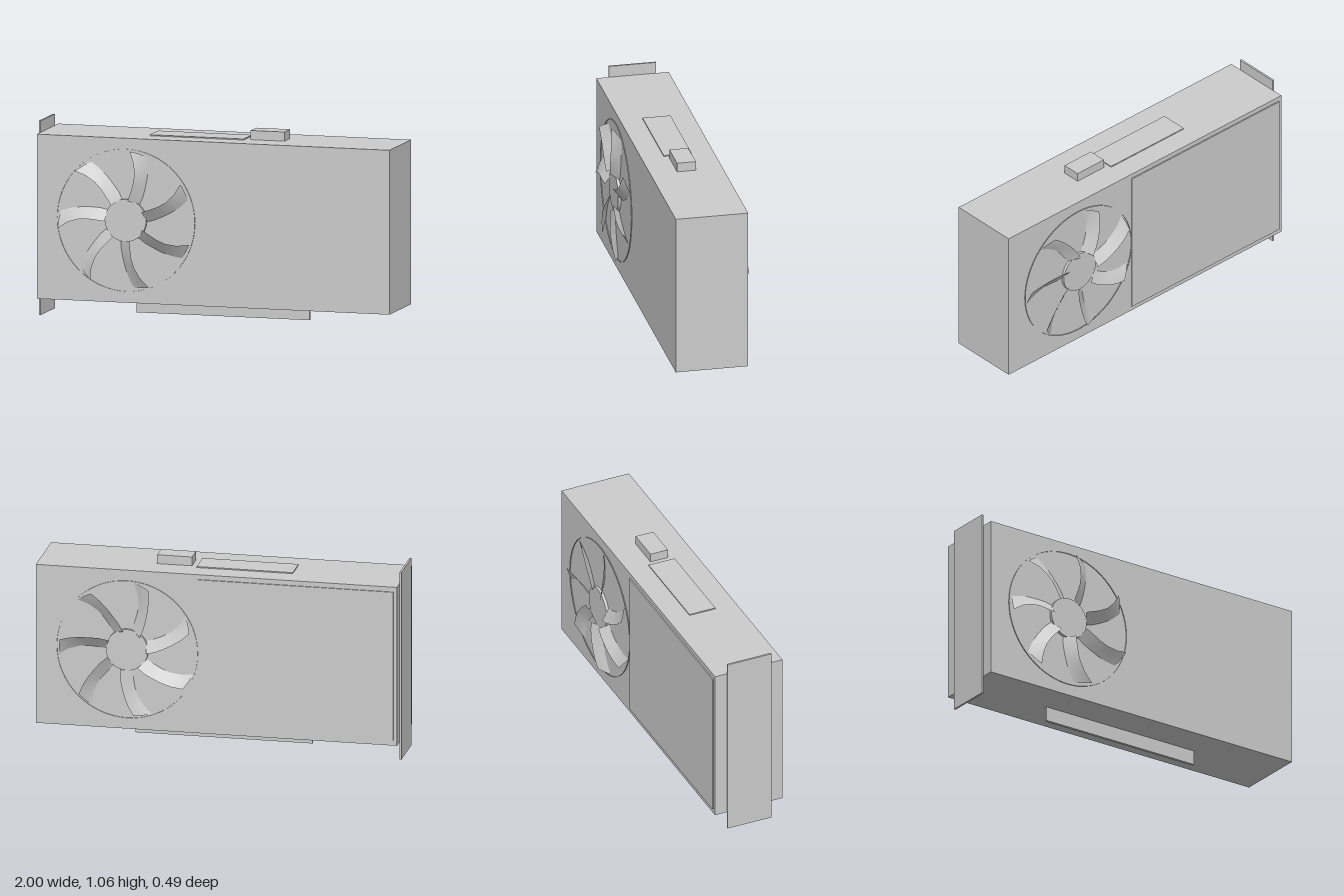
import * as THREE from 'three';

const grey = new THREE.MeshStandardMaterial({ color: 0xcccccc, side: THREE.DoubleSide });
grey.name = 'plain grey';

function add(group, name, geometry) {
  const mesh = new THREE.Mesh(geometry, grey);
  mesh.name = name;
  group.add(mesh);
  return mesh;
}

// Box given by its minimum and maximum on each axis
function box(group, name, x0, x1, y0, y1, z0, z1) {
  const mesh = add(group, name, new THREE.BoxGeometry(x1 - x0, y1 - y0, z1 - z0));
  mesh.position.set((x0 + x1) / 2, (y0 + y1) / 2, (z0 + z1) / 2);
}

// Curved, pitched blade lofted from the swept edge to the straight edge.
// Each section: swept radius, swept angle, other radius, other angle (degrees)
function bladeGeometry(sweptHigh) {
  const sections = [
    [0.11, 80, 0.11, 47], [0.16, 77, 0.16, 53], [0.21, 76, 0.21, 58.5],
    [0.26, 77, 0.26, 62.5], [0.32, 80.5, 0.315, 66.5], [0.382, 85.5, 0.368, 70.5],
  ];
  const highZ = [0.041, 0.044, 0.045, 0.044, 0.041, 0.035];
  const lowZ = -0.002;
  const steps = 4;
  const positions = [], index = [];
  sections.forEach(([r0, a0, r1, a1], i) => {
    for (let j = 0; j <= steps; j++) {
      const t = j / steps;
      const r = r0 + (r1 - r0) * t;
      const a = THREE.MathUtils.degToRad(a0 + (a1 - a0) * t);
      const h = sweptHigh ? 1 - t : t;
      positions.push(r * Math.cos(a), r * Math.sin(a), lowZ + (highZ[i] - lowZ) * h);
      if (i > 0 && j > 0) {
        const d = i * (steps + 1) + j, c = d - 1, b = d - steps - 1, e = b - 1;
        index.push(e, b, d, e, d, c);
      }
    }
  });
  // Wind the faces so that they look outward (+z)
  for (let i = 0; i < index.length; i += 3) {
    const [p, q, s] = [0, 1, 2].map(k => new THREE.Vector3().fromArray(positions, index[i + k] * 3));
    if (q.sub(p).cross(s.sub(p)).z < 0) [index[i + 1], index[i + 2]] = [index[i + 2], index[i + 1]];
  }
  const geometry = new THREE.BufferGeometry();
  geometry.setAttribute('position', new THREE.Float32BufferAttribute(positions, 3));
  geometry.setIndex(index);
  geometry.computeVertexNormals();
  return geometry;
}

// Fan facing +z with its base at z = 0
function createFan(name, sweptHigh) {
  const fan = new THREE.Group();
  fan.name = name;
  const hub = add(fan, 'fanHub', new THREE.CylinderGeometry(0.116, 0.116, 0.02, 48));
  hub.rotation.x = Math.PI / 2;
  hub.position.z = 0.006;
  const rim = add(fan, 'fanRim', new THREE.CylinderGeometry(0.388, 0.388, 0.01, 64, 1, true));
  rim.rotation.x = Math.PI / 2;
  const blade = bladeGeometry(sweptHigh);
  for (let i = 0; i < 7; i++) {
    add(fan, 'fanBlade', blade).rotation.z = (i * Math.PI * 2) / 7;
  }
  return fan;
}

export function createModel() {
  const model = new THREE.Group();
  model.name = 'graphicsCard';

  // Main housing and end bracket
  box(model, 'housing', -0.99, 1, 0.1, 0.997, -0.2, 0.2);
  box(model, 'mountingBracket', -1, -0.989, 0, 1.06, -0.13, 0.13);

  // Edge connector below, power socket and raised plate on top
  box(model, 'edgeConnector', -0.485, 0.49, 0.02, 0.1, -0.008, 0.008);
  box(model, 'powerSocket', 0.17, 0.362, 0.99, 1.047, -0.052, 0.052);
  box(model, 'topPlate', -0.39, 0.14, 0.99, 1.003, -0.077, 0.077);

  // Thin cover on the rear
  box(model, 'backPlate', -0.97, 0.105, 0.128, 0.97, -0.207, -0.195);

  // One fan on each face
  const frontFan = createFan('frontFan', true);
  frontFan.position.set(-0.485, 0.55, 0.2);
  const rearFan = createFan('rearFan', false);
  rearFan.position.set(0.495, 0.55, -0.2);
  rearFan.rotation.y = Math.PI;
  model.add(frontFan, rearFan);

  return model;
}
